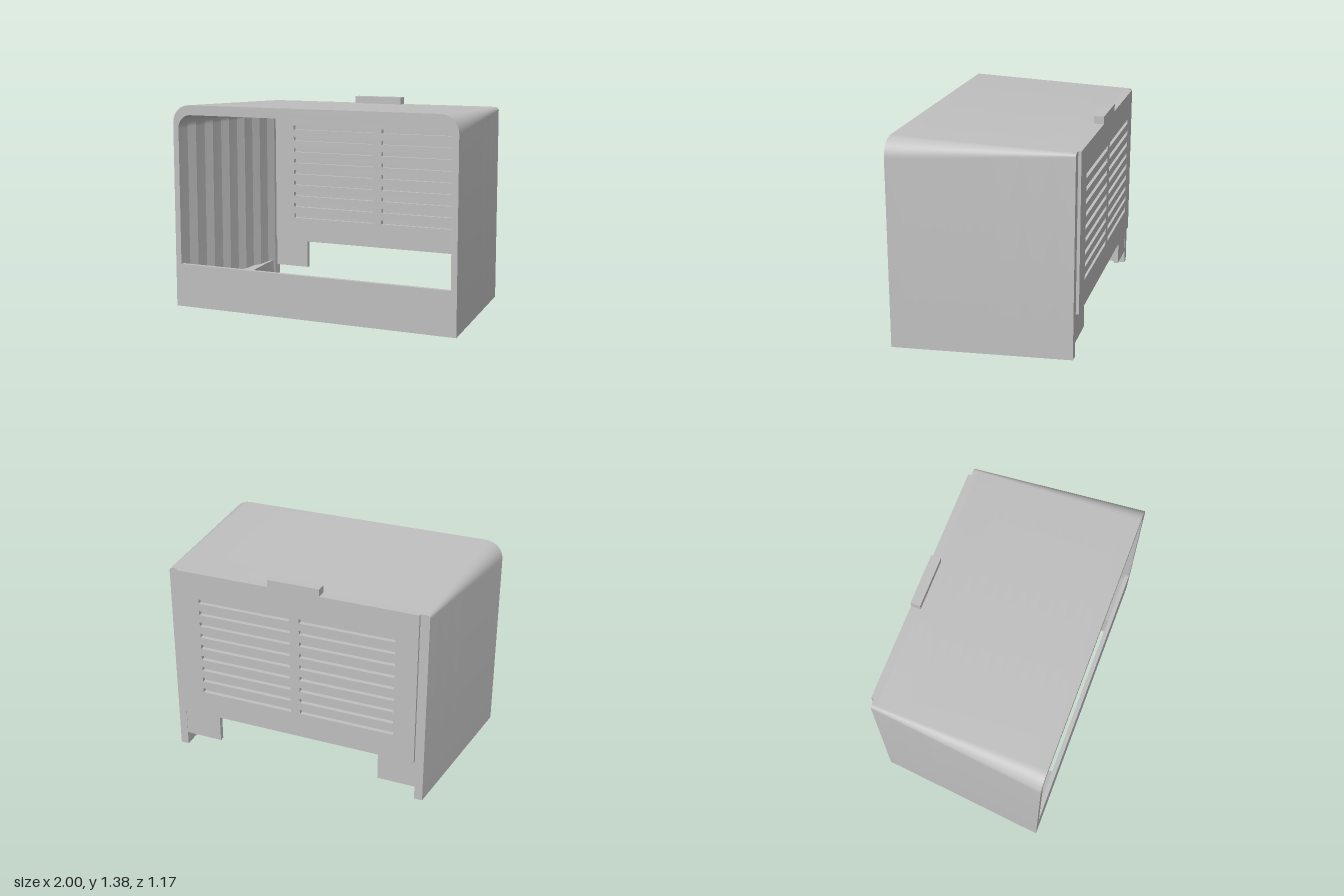
import * as THREE from 'three';
import { toCreasedNormals } from 'three/addons/utils/BufferGeometryUtils.js';

const FRONT = 0.585, BACK = -0.565;
const lerp = THREE.MathUtils.lerp;

// Arch cross-section: up the -x side, over the rounded top, down the +x side
function arch(w, h, r, z) {
  const pts = [new THREE.Vector3(-w, 0, z)], n = 10;
  for (const s of [-1, 1]) {
    for (let i = 0; i <= n; i++) {
      const a = (s < 0 ? Math.PI : Math.PI / 2) - (i / n) * Math.PI / 2;
      pts.push(new THREE.Vector3(s * (w - r) + r * Math.cos(a), h - r + r * Math.sin(a), z));
    }
  }
  pts.push(new THREE.Vector3(w, 0, z));
  return pts;
}

// Tapered hood, smooth outside and stepped inside
function hoodGeometry() {
  const stations = [[FRONT, 0]];
  for (let i = 0; i < 6; i++) {
    const z = FRONT - i * 0.18;
    stations.push([z - 0.11, i / 6], [z - 0.18, (i + 1) / 6]);
  }
  stations.push([BACK, 1]);
  const outer = [], inner = [];
  for (const [z, step] of stations) {
    const t = (FRONT - z) / (FRONT - BACK);
    outer.push(arch(lerp(1, 0.88, t), lerp(1.36, 1.325, t), lerp(0.12, 0.02, t), z));
    inner.push(arch(lerp(0.96, 0.825, step), lerp(1.295, 1.265, step), lerp(0.09, 0.04, step), z));
  }
  const pos = [];
  const quad = (a, b, c, d) => [a, b, c, a, c, d].forEach(p => pos.push(p.x, p.y, p.z));
  const last = stations.length - 1, n = outer[0].length - 1;
  for (let k = 0; k < last; k++) {
    const O = outer[k], P = outer[k + 1], I = inner[k], J = inner[k + 1];
    for (let i = 0; i < n; i++) {
      quad(O[i], O[i + 1], P[i + 1], P[i]);
      quad(I[i], J[i], J[i + 1], I[i + 1]);
    }
    quad(O[0], P[0], J[0], I[0]);
    quad(O[n], I[n], J[n], P[n]);
  }
  for (let i = 0; i < n; i++) {
    quad(outer[0][i], inner[0][i], inner[0][i + 1], outer[0][i + 1]);
    quad(outer[last][i], outer[last][i + 1], inner[last][i + 1], inner[last][i]);
  }
  const g = new THREE.BufferGeometry();
  g.setAttribute('position', new THREE.Float32BufferAttribute(pos, 3));
  return toCreasedNormals(g, 0.2);
}

// Slotted plate between two depths
function slottedPlate(halfWidth, z0, z1) {
  const rect = (path, x0, y0, x1, y1) => {
    path.moveTo(x0, y0); path.lineTo(x1, y0); path.lineTo(x1, y1); path.lineTo(x0, y1);
    path.closePath();
    return path;
  };
  const shape = rect(new THREE.Shape(), -halfWidth, 0.285, halfWidth, 1.326);
  for (let row = 0; row < 9; row++) {
    const y = 0.473 + row * 0.0822;
    for (const x of [-0.675, 0.03]) {
      shape.holes.push(rect(new THREE.Path(), x, y - 0.015, x + 0.64, y + 0.015));
    }
  }
  return new THREE.ExtrudeGeometry(shape, { depth: z1 - z0, bevelEnabled: false }).translate(0, 0, z0);
}

// Curved foot ledge along the bottom of one side
function ledgeGeometry(s) {
  const shape = new THREE.Shape();
  shape.moveTo(s * 0.98, -0.57);
  shape.lineTo(s * 0.6, -0.57);
  shape.lineTo(s * 0.6, -0.39);
  shape.splineThru([[0.71, -0.23], [0.78, 0.05], [0.82, 0.35], [0.835, 0.55]]
    .map(([x, y]) => new THREE.Vector2(s * x, y)));
  shape.lineTo(s * 0.865, 0.55);
  const g = new THREE.ExtrudeGeometry(shape, { depth: 0.13, bevelEnabled: false, curveSegments: 20 });
  return toCreasedNormals(g.rotateX(-Math.PI / 2), 0.4);
}

// Sloped corner block behind the front rail, from x = 0 to x = 0.36
function gussetGeometry() {
  const shape = new THREE.Shape();
  shape.moveTo(-0.56, 0);
  shape.lineTo(-0.39, 0);
  shape.lineTo(-0.39, 0.15);
  shape.lineTo(-0.56, 0.24);
  return new THREE.ExtrudeGeometry(shape, { depth: 0.36, bevelEnabled: false }).rotateY(Math.PI / 2);
}

export function createModel() {
  const group = new THREE.Group();
  const grey = new THREE.MeshStandardMaterial({ color: 0xbfbfbf });
  grey.name = 'plain grey';
  const add = (name, geometry) => {
    const mesh = new THREE.Mesh(geometry, grey);
    mesh.name = name;
    group.add(mesh);
    return mesh;
  };
  // Box given by its minimum and maximum corners
  const box = (name, x0, y0, z0, x1, y1, z1) =>
    add(name, new THREE.BoxGeometry(x1 - x0, y1 - y0, z1 - z0))
      .position.set((x0 + x1) / 2, (y0 + y1) / 2, (z0 + z1) / 2);

  add('hood', hoodGeometry());
  box('frontRail', -0.996, 0, 0.555, 0.996, 0.29, FRONT);

  // Rear vent panel: inner flange, raised back face, and a web closing the slots
  add('ventPanelFlange', slottedPlate(0.855, BACK, -0.52));
  add('ventPanelFace', slottedPlate(0.82, -0.585, BACK));
  box('slotWeb', -0.7, 0.44, -0.556, 0.7, 1.16, -0.55);
  box('topTab', -0.175, 1.3, -0.585, 0.175, 1.375, -0.52);

  // Mirrored bottom parts
  for (const s of [-1, 1]) {
    const side = s > 0 ? 'left' : 'right';
    add(side + 'Ledge', ledgeGeometry(s));
    add(side + 'Gusset', gussetGeometry()).position.x = s > 0 ? 0.6 : -0.96;
    const a = s * 0.57, b = s * 0.83;
    box(side + 'PanelFoot', Math.min(a, b), 0.09, -0.563, Math.max(a, b), 0.3, -0.53);
  }
  return group;
}
